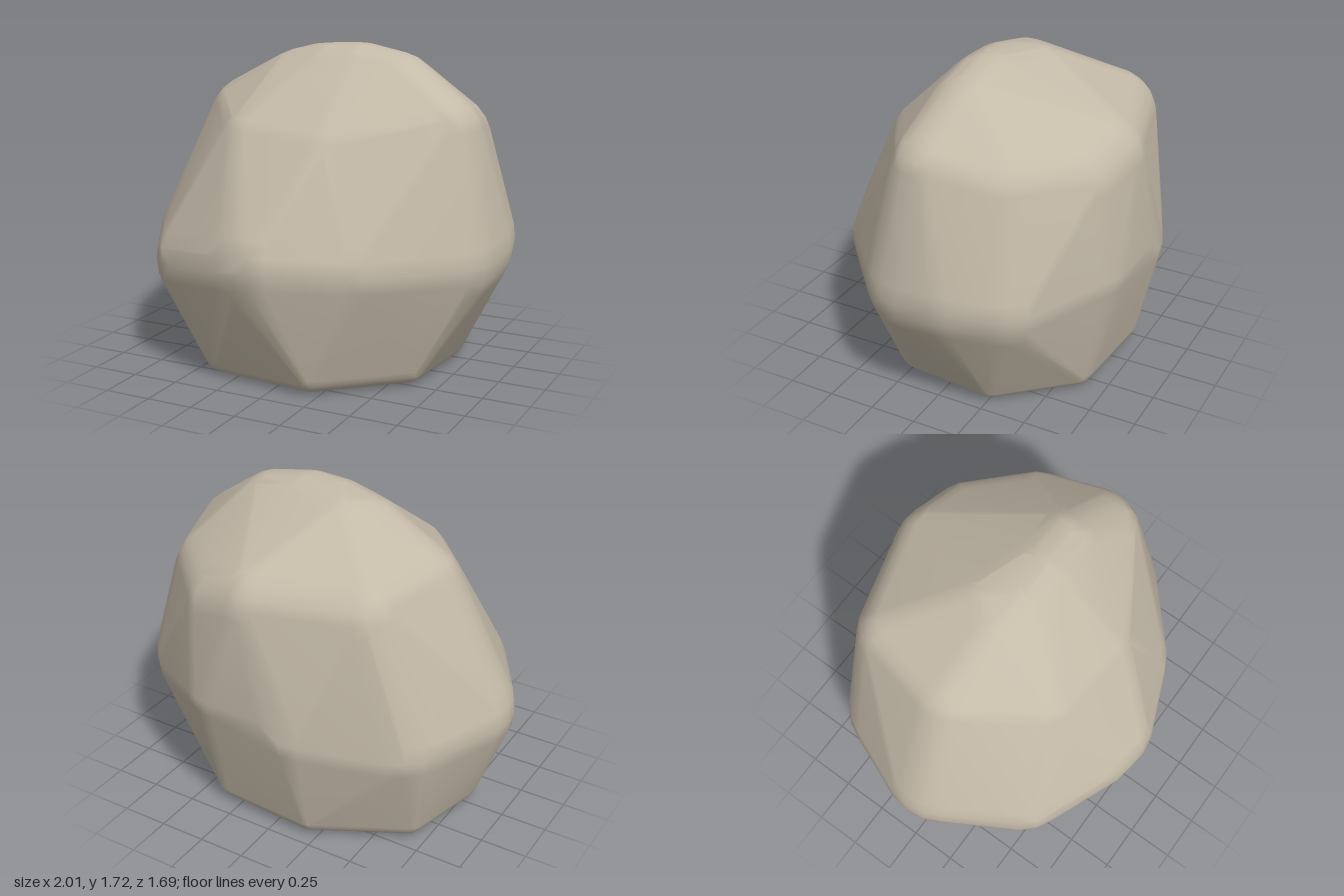
import * as THREE from 'three';
import { ConvexGeometry } from 'three/addons/geometries/ConvexGeometry.js';
import { mergeVertices } from 'three/addons/utils/BufferGeometryUtils.js';

// Corners of the boulder, ring by ring, as [x, y, z]
const BASE = [
  [-0.83, 0, 0.02], [-0.72, 0, -0.43], [-0.22, 0, -0.71], [0.36, 0, -0.67],
  [0.71, 0, -0.28], [0.67, 0, 0.25], [0.22, 0, 0.65], [-0.42, 0, 0.58],
];
const WAIST = [
  [-0.998, 0.54, -0.01], [-0.8, 0.53, -0.53], [-0.22, 0.58, -0.82], [-0.02, 0.74, -0.845],
  [0.43, 0.72, -0.79], [0.92, 0.64, -0.43], [0.998, 0.66, -0.15], [0.98, 0.62, 0.13],
  [0.54, 0.6, 0.62], [-0.03, 0.62, 0.845], [-0.18, 0.58, 0.82], [-0.72, 0.5, 0.54],
];
const CROWN = [
  [-0.63, 1.44, -0.08], [-0.5, 1.41, -0.57], [0.14, 1.41, -0.75], [0.42, 1.34, -0.7],
  [0.74, 1.34, -0.38], [0.83, 1.41, 0.03], [0.26, 1.33, 0.46], [-0.31, 1.37, 0.41],
  [-0.2, 1.665, -0.05], [-0.08, 1.69, -0.16], [0.05, 1.71, -0.03], [0.25, 1.71, -0.03],
  [0.5, 1.65, -0.03],
];

// Hull around a small ball placed inside every corner: a polyhedron with rounded edges
function roundedHull(rings) {
  const points = [];
  for (const { corners, radius } of rings) {
    const ball = new THREE.SphereGeometry(radius, 20, 12).getAttribute('position');
    for (const corner of corners) {
      const p = new THREE.Vector3(...corner);
      const onGround = p.y === 0;
      const outward = new THREE.Vector3(p.x, onGround ? 0 : p.y - 0.75, p.z).normalize();
      p.addScaledVector(outward, -radius);
      if (onGround) p.y = radius;
      for (let i = 0; i < ball.count; i++) {
        points.push(new THREE.Vector3().fromBufferAttribute(ball, i).add(p));
      }
    }
  }
  const hull = new ConvexGeometry(points);
  hull.deleteAttribute('normal');
  const geometry = mergeVertices(hull, 1e-4);
  geometry.computeVertexNormals();
  return geometry;
}

export function createModel() {
  const group = new THREE.Group();
  group.name = 'boulder';
  const geometry = roundedHull([
    { corners: BASE, radius: 0.12 },
    { corners: WAIST, radius: 0.32 },
    { corners: CROWN, radius: 0.25 },
  ]);
  const stone = new THREE.Mesh(geometry, new THREE.MeshStandardMaterial({ color: 0xc4baa8 }));
  stone.name = 'stone';
  group.add(stone);
  return group;
}
